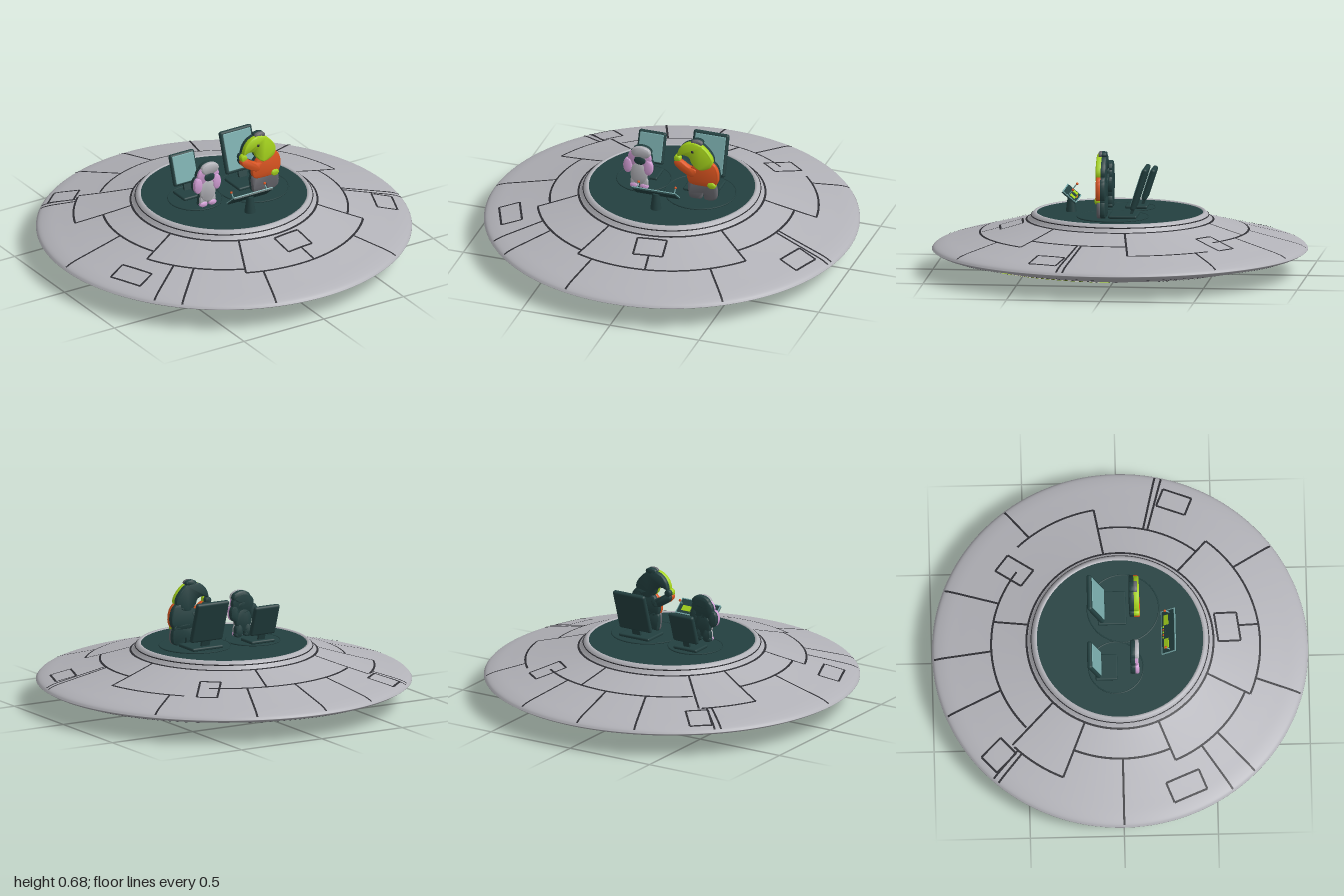
import * as THREE from 'three';
import { mergeGeometries, toCreasedNormals } from 'three/addons/utils/BufferGeometryUtils.js';
import { RoundedBoxGeometry } from 'three/addons/geometries/RoundedBoxGeometry.js';

const mat = (name, color, side = THREE.FrontSide) => Object.assign(new THREE.MeshStandardMaterial({ color, side }), { name });
const M = {
  hull: mat('hull grey', 0xb2b2b8, THREE.DoubleSide),
  line: mat('seam charcoal', 0x2f2f34, THREE.DoubleSide),
  teal: mat('dark teal', 0x234040),
  pad: mat('pale teal', 0x78aaaa),
  lime: mat('lime', 0xa6d41c, THREE.DoubleSide),
  glass: mat('lamp grey', 0xcfcbbb, THREE.DoubleSide),
  orange: mat('orange', 0xdc5520),
  pink: mat('pink', 0xd39fd6),
  grey: mat('dark grey', 0x66666c),
};
const RAD = Math.PI / 180, FLOOR = 0.325;

function add(parent, name, geo, material, x = 0, y = 0, z = 0) {
  const m = new THREE.Mesh(geo, material);
  m.name = name;
  m.position.set(x, y, z);
  parent.add(m);
  return m;
}

// Hull profiles as [radius, height]
const smooth = (pts) => new THREE.CatmullRomCurve3(pts.map(([r, y]) => new THREE.Vector3(r, y, 0)), false, 'centripetal')
  .getPoints(48).map((p) => new THREE.Vector2(p.x, p.y));
const under = smooth([[0.01, 0.01], [0.2, 0.011], [0.5, 0.03], [0.74, 0.065], [0.9, 0.1], [0.975, 0.117], [1, 0.131]]);
const upper = smooth([[1, 0.131], [0.988, 0.145], [0.95, 0.162], [0.85, 0.189], [0.7, 0.228], [0.55, 0.27], [0.49, 0.288]]);

// Height of a profile at radius r
function heightAt(profile, r) {
  for (let i = 1; i < profile.length; i++) {
    const a = profile[i - 1], b = profile[i];
    if ((r - a.x) * (r - b.x) <= 0 && a.x !== b.x) return a.y + (b.y - a.y) * (r - a.x) / (b.x - a.x);
  }
  return r > 0.9 ? 0.131 : profile === under ? 0.01 : 0.288;
}
const onTop = (x, z) => heightAt(upper, Math.hypot(x, z)) + 0.003;
const onBottom = (x, z) => heightAt(under, Math.hypot(x, z)) - 0.003;

// Grid surface from rows of [x, z] points laid on a height rule
function drape(rows, height) {
  const pos = [], idx = [], n = rows[0].length;
  for (const row of rows) for (const [x, z] of row) pos.push(x, height(x, z), z);
  for (let i = 0; i < rows.length - 1; i++) for (let j = 0; j < n - 1; j++) {
    const a = i * n + j, b = a + n;
    idx.push(a, a + 1, b, b, a + 1, b + 1);
  }
  const g = new THREE.BufferGeometry();
  g.setAttribute('position', new THREE.Float32BufferAttribute(pos, 3));
  g.setIndex(idx);
  g.computeVertexNormals();
  return g;
}
const polar = (r, deg) => [r * Math.cos(deg * RAD), r * Math.sin(deg * RAD)];
function arc(r, a, b, height, w = 0.011) {
  const n = Math.max(4, Math.ceil(Math.abs(b - a) / 3));
  return drape([r - w / 2, r + w / 2].map((q) => Array.from({ length: n + 1 }, (_, i) => polar(q, a + (b - a) * i / n))), height);
}
function segment([x0, z0], [x1, z1], height, w = 0.011) {
  const len = Math.hypot(x1 - x0, z1 - z0), nx = -(z1 - z0) / len * w / 2, nz = (x1 - x0) / len * w / 2;
  return drape([-1, 1].map((s) => Array.from({ length: 13 }, (_, i) =>
    [x0 + (x1 - x0) * i / 12 + s * nx, z0 + (z1 - z0) * i / 12 + s * nz])), height);
}
const radial = (deg, r0, r1, height) => segment(polar(r0, deg), polar(r1, deg), height);
// Rectangular hatch outline: centre radius, angle, tangential and radial size
function hatch(r, deg, t, d, height) {
  const c = Math.cos(deg * RAD), s = Math.sin(deg * RAD);
  const p = [[-1, -1], [1, -1], [1, 1], [-1, 1]].map(([u, v]) => {
    const a = r + v * d / 2, b = u * t / 2;
    return [a * c - b * s, a * s + b * c];
  });
  return p.map((q, i) => segment(q, p[(i + 1) % 4], height));
}
// Elliptical band on the underside
function band(deg, inner, outer) {
  const c = Math.cos(deg * RAD), s = Math.sin(deg * RAD);
  const rows = Array.from({ length: 9 }, (_, i) => Array.from({ length: 65 }, (_, j) => {
    const k = i / 8, a = j / 64 * Math.PI * 2;
    const t = (inner[0] + (outer[0] - inner[0]) * k) * Math.cos(a);
    const d = 0.59 + (inner[1] + (outer[1] - inner[1]) * k) * Math.sin(a);
    return [d * c - t * s, d * s + t * c];
  }));
  return drape(rows, onBottom);
}

function buildSaucer(root) {
  const g = new THREE.Group();
  g.name = 'saucer';
  root.add(g);
  add(g, 'hull', new THREE.LatheGeometry([...under, ...upper.slice(1)], 128), M.hull);
  const rim = [[0.49, 0.288], [0.478, 0.3], [0.468, 0.318], [0.456, 0.33], [0.444, 0.33], [0.44, 0.32]];
  add(g, 'cockpitRim', new THREE.LatheGeometry(rim.map((p) => new THREE.Vector2(...p)), 96), M.hull);
  add(g, 'rimSeam', new THREE.TorusGeometry(0.472, 0.003, 6, 96).rotateX(Math.PI / 2), M.line, 0, 0.312, 0);
  add(g, 'cockpitFloor', new THREE.CylinderGeometry(0.445, 0.445, 0.02, 96), M.teal, 0, FLOOR - 0.01, 0);

  // Upper plating seams: arcs [radius, from, to] and radials [angle, from, to]
  const arcs = [[0.497, 0, 360], [0.685, 228, 308], [0.8, 203.5, 226], [0.65, 157, 203.5], [0.715, 113, 157],
    [0.745, 39, 113], [0.66, -9, 39], [0.78, -43, -9]];
  const radials = [[180, 0.65, 0.99], [203.5, 0.5, 0.8], [227, 0.5, 0.8], [249, 0.685, 0.99], [268, 0.685, 0.99], [282, 0.5, 0.685],
    [291, 0.685, 0.99], [323, 0.78, 0.99], [351, 0.5, 0.78], [12, 0.66, 0.99], [14, 0.66, 0.99], [39, 0.5, 0.745],
    [55, 0.745, 0.99], [82, 0.64, 0.745], [105.7, 0.745, 0.99], [113, 0.5, 0.745], [135, 0.715, 0.99],
    [144, 0.715, 0.99], [157, 0.5, 0.715], [222, 0.8, 0.99], [224, 0.8, 0.99]];
  const hatches = [[0.886, 228, 0.12, 0.14], [0.7, -52, 0.11, 0.17], [0.86, 157, 0.19, 0.11], [0.577, 82.5, 0.16, 0.12], [0.87, 20.5, 0.16, 0.11]];
  add(g, 'upperSeams', mergeGeometries([
    ...arcs.map((a) => arc(...a, onTop)),
    ...radials.map((r) => radial(...r, onTop)),
    ...hatches.flatMap((h) => hatch(...h, onTop)),
  ]), M.line);

  // Underside: hub with spokes, hatches and three lamps
  add(g, 'hub', new THREE.CylinderGeometry(0.215, 0.2, 0.012, 64), M.hull, 0, 0.008, 0);
  const low = [0.225, 0.295, 0.93].map((r) => arc(r, 0, 360, onBottom, 0.014));
  for (let i = 0; i < 4; i++) low.push(segment(polar(0.2, i * 45 + 20), polar(0.2, i * 45 + 200), () => 0.0005, 0.01));
  for (const deg of [90, 210, 330]) {
    for (const r of [0.535, 0.685, 0.835]) low.push(...hatch(r, deg, 0.19, 0.15, onBottom));
    const lamp = deg + 180;
    add(g, 'lampGlass', band(lamp, [0.001, 0.001], [0.262, 0.19]), M.glass);
    add(g, 'lampRing', band(lamp, [0.262, 0.19], [0.32, 0.24]), M.lime);
    low.push(band(lamp, [0.352, 0.268], [0.366, 0.28]));
  }
  add(g, 'undersideSeams', mergeGeometries(low), M.line);
}

// Chair: floor disc, seat plate, bracket and reclined padded back
function buildChair(root, x, z, w, h, disc) {
  const g = new THREE.Group();
  g.name = 'chair';
  g.position.set(x, FLOOR, z);
  root.add(g);
  add(g, 'turntable', new THREE.CylinderGeometry(disc, disc, 0.004, 64), M.teal, 0, 0.002, 0.02);
  add(g, 'turntableEdge', new THREE.TorusGeometry(disc, 0.004, 6, 64).rotateX(Math.PI / 2), M.teal, 0, 0.003, 0.02);
  add(g, 'seat', new RoundedBoxGeometry(w * 0.95, 0.018, w * 0.76, 2, 0.008), M.teal, 0, 0.012, -w * 0.2);
  const back = new THREE.Group();
  back.name = 'chairBack';
  back.position.set(0, 0.05, -w * 0.45);
  back.rotation.x = -0.315;
  g.add(back);
  add(back, 'backShell', new RoundedBoxGeometry(w, h, 0.028, 3, 0.013), M.teal, 0, h / 2, 0);
  add(back, 'backPad', new RoundedBoxGeometry(w * 0.86, h * 0.87, 0.009, 2, 0.004), M.pad, 0, h / 2, 0.0125);
  add(back, 'bracket', new THREE.BoxGeometry(w * 0.25, 0.06, 0.014), M.teal, 0, -0.01, 0);
}

function buildConsole(root) {
  const g = new THREE.Group();
  g.name = 'console';
  g.position.set(0, FLOOR, 0.26);
  root.add(g);
  add(g, 'pedestal', new THREE.CylinderGeometry(0.018, 0.03, 0.09, 24), M.teal, 0, 0.045, 0);
  const p = new THREE.Group();
  p.name = 'controlPanel';
  p.position.y = 0.093;
  p.rotation.x = -0.7;
  g.add(p);
  add(p, 'panelBody', new THREE.BoxGeometry(0.24, 0.012, 0.092), M.teal);
  add(p, 'panelTrim', new THREE.BoxGeometry(0.244, 0.005, 0.096), M.pad, 0, 0.004, 0);
  add(p, 'panelFace', new THREE.BoxGeometry(0.232, 0.004, 0.084), M.teal, 0, 0.006, 0);
  for (const s of [-1, 1]) {
    add(p, 'display', new THREE.BoxGeometry(0.055, 0.004, 0.032), M.lime, s * 0.066, 0.008, -0.012);
    add(p, 'lever', new THREE.CylinderGeometry(0.003, 0.003, 0.035, 8), M.pad, s * 0.104, 0.022, 0.01);
    add(p, 'leverKnob', new THREE.SphereGeometry(0.007, 12, 8), M.orange, s * 0.104, 0.042, 0.01);
  }
  for (let i = -2; i <= 2; i++) add(p, 'button', new THREE.BoxGeometry(0.009, 0.004, 0.008), i % 2 ? M.orange : M.lime, i * 0.015, 0.008, -0.032);
}

// Cut-out figures: padded outlines in hundredths of a unit, coloured in front, dark behind
const oval = (x, y, rx, ry) => Array.from({ length: 12 }, (_, i) => [x + rx * Math.cos(i * Math.PI / 6), y + ry * Math.sin(i * Math.PI / 6)]);
function cutout(parent, name, pts, material, front) {
  const curve = new THREE.CatmullRomCurve3(pts.map(([x, y]) => new THREE.Vector3(x / 100, y / 100, 0)), true, 'centripetal');
  const shape = new THREE.Shape(curve.getPoints(48).slice(0, -1).map((p) => new THREE.Vector2(p.x, p.y)));
  const slab = (depth, b) => toCreasedNormals(new THREE.ExtrudeGeometry(shape, {
    depth, bevelEnabled: true, bevelThickness: b, bevelSize: b * 0.8, bevelOffset: -b * 0.8, bevelSegments: 3 }), 0.9);
  add(parent, name, slab(front - 0.084, 0.007), material, 0, 0, 0.077);
  add(parent, name + 'Backing', slab(0.017, 0.007), M.teal, 0, 0, 0.058);
}

function buildFigures(root) {
  const big = new THREE.Group(), small = new THREE.Group();
  big.name = 'largeFigure';
  small.name = 'smallFigure';
  root.add(big, small);
  cutout(big, 'trousers', [[12.8, 43], [27, 43], [28.4, 35], [26.2, 33], [21.6, 33], [20.6, 36.5], [19.6, 33], [13.4, 33], [12.4, 36]], M.grey, 0.095);
  cutout(big, 'shirt', [[16, 53], [25, 55.6], [28.4, 52.5], [29.4, 45.7], [27.3, 42], [20, 41], [13, 42], [11.8, 46.8], [13.6, 50.5]], M.orange, 0.1);
  cutout(big, 'head', [[6.4, 57], [7.5, 61.5], [10.7, 64.8], [15, 66.2], [19.8, 65], [24, 61.3], [26.2, 57], [25, 53], [18.5, 50.5],
    [14.5, 53.8], [13, 57], [9.6, 58]], M.lime, 0.104);
  cutout(big, 'hair', oval(17, 66, 3.2, 1.7), M.grey, 0.095);
  cutout(big, 'sleeve', [[4.8, 53.6], [7.5, 54.6], [12.8, 51.5], [17, 50], [15, 46], [9.6, 48], [5.3, 51.4]], M.orange, 0.108);
  cutout(big, 'raisedHand', oval(6.4, 55.3, 1.9, 2), M.lime, 0.106);
  cutout(big, 'loweredHand', oval(25.7, 42.3, 2.4, 1.9), M.lime, 0.106);
  add(big, 'eye', new THREE.SphereGeometry(0.008, 12, 8).scale(1, 1, 0.5), M.line, 0.15, 0.61, 0.104);

  for (const s of [-1, 1]) {
    cutout(small, 'leg', oval(-15.5 + s * 2.6, 36.5, 2.4, 3.6), M.hull, 0.09);
    cutout(small, 'foot', oval(-15.5 + s * 2.8, 34.3, 2.4, 1.6), M.pink, 0.094);
    cutout(small, 'arm', oval(-16 + s * 5.8, 46, 2.5, 4.4), M.pink, 0.097);
  }
  cutout(small, 'body', oval(-15.6, 42, 4.8, 6.4), M.hull, 0.094);
  cutout(small, 'cheeks', oval(-15.3, 51, 6.6, 5.6), M.pink, 0.092);
  cutout(small, 'crown', oval(-14.4, 54.6, 5.4, 3.4), M.hull, 0.097);
  cutout(small, 'face', oval(-14.9, 50, 3.2, 2.5), M.teal, 0.099);
}

export function createModel() {
  const root = new THREE.Group();
  root.name = 'openSaucer';
  buildSaucer(root);
  buildChair(root, 0.168, 0, 0.2, 0.235, 0.19);
  buildChair(root, -0.165, -0.045, 0.155, 0.175, 0.145);
  buildConsole(root);
  buildFigures(root);
  return root;
}
